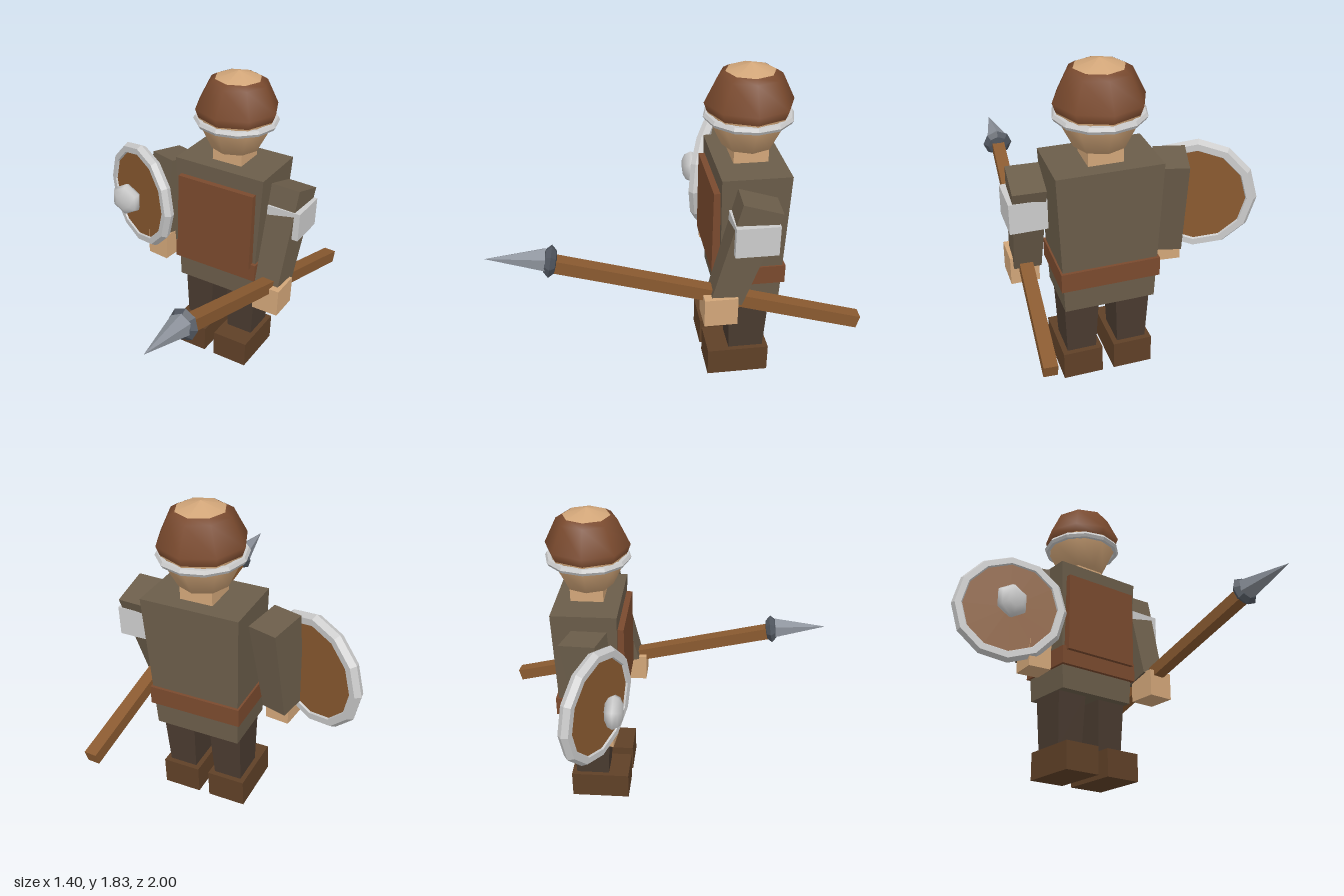
import * as THREE from 'three';

const mat = (color, flatShading = true) => new THREE.MeshStandardMaterial({ color, flatShading });
const TUNIC = mat(0x6b5d4a), LEATHER = mat(0x7a4a2e), TROUSER = mat(0x4a3b30), BOOT = mat(0x5f4027);
const SKIN = mat(0xd2a679), WOOD = mat(0x8a5a30), STEEL = mat(0xcccccc);
const BLADE = mat(0x8a9099), IRON = mat(0x50565f);
const HELMET_SMOOTH = mat(0x7a4a2e, false), SKIN_SMOOTH = mat(0xd2a679, false), STEEL_SMOOTH = mat(0xcccccc, false);
HELMET_SMOOTH.side = THREE.DoubleSide;

const BX = 0.197, BZ = -0.42; // body axis

export function createModel() {
  const model = new THREE.Group();
  model.name = 'warrior';

  const add = (name, geometry, material, x = 0, y = 0, z = 0, parent = model) => {
    const mesh = new THREE.Mesh(geometry, material);
    mesh.name = name;
    mesh.position.set(x, y, z);
    parent.add(mesh);
    return mesh;
  };

  // Box given by its limits
  const block = (name, material, x0, x1, y0, y1, z0, z1) =>
    add(name, new THREE.BoxGeometry(x1 - x0, y1 - y0, z1 - z0), material,
      (x0 + x1) / 2, (y0 + y1) / 2, (z0 + z1) / 2);

  // Box hanging down from its origin, with its own width and depth at each end
  const tapered = (wTop, dTop, wBottom, dBottom, h) => {
    const g = new THREE.BoxGeometry(1, h, 1).translate(0, -h / 2, 0);
    const p = g.attributes.position;
    for (let i = 0; i < p.count; i++) {
      const top = p.getY(i) > -h / 2;
      p.setX(i, p.getX(i) * (top ? wTop : wBottom));
      p.setZ(i, p.getZ(i) * (top ? dTop : dBottom));
    }
    g.computeVertexNormals();
    return g;
  };

  const lathe = (points, sides) =>
    new THREE.LatheGeometry(points.map(([r, y]) => new THREE.Vector2(r, y)), sides);

  // Torso, chest plate and belt
  add('tunic', tapered(0.57, 0.375, 0.5, 0.335, 0.81), TUNIC, BX, 1.3, BZ);
  block('chestPlate', LEATHER, -0.05, 0.44, 0.72, 1.205, -0.3, -0.2);
  block('belt', LEATHER, -0.075, 0.468, 0.632, 0.742, -0.61, -0.225);

  // Legs and boots
  for (const side of [-1, 1]) {
    const x = BX + side * 0.145;
    add('leg', tapered(0.195, 0.235, 0.165, 0.2, 0.35), TROUSER, x, 0.51, BZ);
    block('boot', BOOT, x - 0.112, x + 0.112, 0, 0.165, -0.55, -0.195);
  }

  // Neck, head, open helmet and brow band
  block('neck', SKIN, 0.102, 0.29, 1.28, 1.42, -0.52, -0.33);
  add('head', lathe([[0, 1.372], [0.14, 1.375], [0.222, 1.54], [0.222, 1.62],
    [0.15, 1.774], [0.13, 1.79], [0, 1.83]], 8), SKIN_SMOOTH, BX, 0, BZ);
  add('helmet', lathe([[0.225, 1.57], [0.243, 1.62], [0.172, 1.765], [0.135, 1.788]], 8),
    HELMET_SMOOTH, BX, 0, BZ);
  add('browBand', new THREE.TorusGeometry(0.225, 0.021, 6, 12).rotateX(Math.PI / 2),
    STEEL, BX, 1.543, BZ);

  // Arms swing forward from the shoulder; hands are plain blocks
  const arm = (name, x, y, z, yaw, swing, length) => {
    const m = add(name, tapered(0.175, 0.218, 0.15, 0.17, length), TUNIC, x, y, z);
    m.rotation.set(-swing, yaw, 0, 'YXZ');
  };
  arm('leftArm', 0.588, 1.23, -0.415, -0.05, 0.285, 0.59);
  arm('rightArm', -0.2, 1.225, -0.41, -0.26, 0.13, 0.57);
  block('leftHand', SKIN, 0.515, 0.675, 0.53, 0.695, -0.305, -0.125);
  const rightHand = block('rightHand', SKIN, -0.285, -0.145, 0.57, 0.735, -0.4, -0.24);
  rightHand.rotation.y = -0.1;
  block('armBand', STEEL, 0.5, 0.7, 0.97, 1.14, -0.5, -0.27);

  // Round shield with a faceted rim and a hexagonal boss
  const shield = new THREE.Group();
  shield.name = 'shield';
  shield.position.set(-0.395, 0.922, -0.32);
  shield.rotation.y = -0.43;
  model.add(shield);
  add('shieldBoard', new THREE.CylinderGeometry(0.3, 0.3, 0.045, 12).rotateX(Math.PI / 2),
    WOOD, 0, 0, 0, shield);
  add('shieldRim', new THREE.TorusGeometry(0.302, 0.038, 6, 12), STEEL, 0, 0, 0, shield);
  add('shieldBoss', new THREE.SphereGeometry(0.105, 6, 6).rotateY(Math.PI / 2)
    .rotateX(Math.PI / 2).scale(1, 1, 0.52), STEEL_SMOOTH, -0.442, 0.92, -0.218);

  // Spear: each piece is laid between two points along its own z axis
  const between = (name, geometry, material, a, b) => {
    const from = new THREE.Vector3(...a), to = new THREE.Vector3(...b);
    const m = add(name, geometry, material);
    m.position.copy(from).add(to).multiplyScalar(0.5);
    m.lookAt(to);
    m.scale.z = from.distanceTo(to);
  };
  between('spearShaft', new THREE.BoxGeometry(0.073, 0.073, 1), WOOD,
    [0.633, 0.467, -0.988], [0.531, 0.915, 0.68]);
  between('spearCollar', new THREE.SphereGeometry(0.5, 8, 4).rotateX(Math.PI / 2)
    .scale(0.176, 0.176, 1), IRON, [0.536, 0.918, 0.63], [0.531, 0.932, 0.705]);
  between('spearHead', new THREE.ConeGeometry(0.067, 1, 6).rotateX(Math.PI / 2), BLADE,
    [0.531, 0.934, 0.692], [0.524, 0.96, 1]);

  return model;
}
